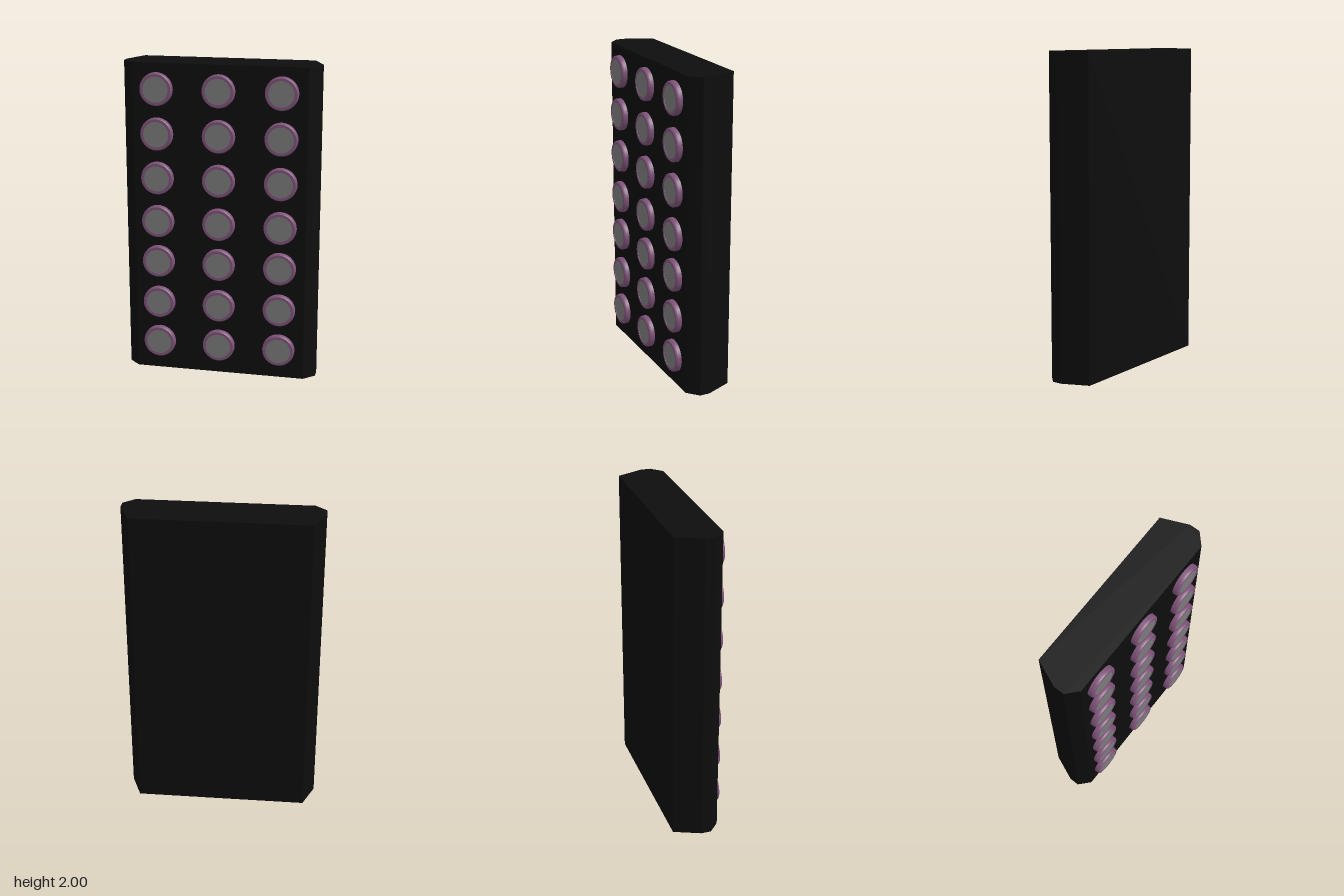
import * as THREE from 'three';
import { toCreasedNormals } from 'three/addons/utils/BufferGeometryUtils.js';

const HEIGHT = 2;
const FRONT_Z = 0.13;
const COLUMNS = [-0.393, -0.003, 0.386];
const ROWS = [0.19, 0.46, 0.735, 1.0, 1.28, 1.56, 1.84];

const bodyMaterial = new THREE.MeshStandardMaterial({ color: 0x0d0d0d });
const rimMaterial = new THREE.MeshStandardMaterial({ color: 0x7d5278 });
const capMaterial = new THREE.MeshStandardMaterial({ color: 0x7a7a7a });

// Slab with chamfered long edges: plan outline (x, -z) extruded upwards
function createBody() {
  const half = [[0.545, 0.165], [0.615, 0], [0.615, -0.065], [0.545, -FRONT_Z]];
  const mirrored = half.map(([x, y]) => [-x, y]).reverse();
  const shape = new THREE.Shape([...half, ...mirrored].map(([x, y]) => new THREE.Vector2(x, y)));
  const geometry = new THREE.ExtrudeGeometry(shape, { depth: HEIGHT, bevelEnabled: false });
  geometry.rotateX(-Math.PI / 2);
  const body = new THREE.Mesh(geometry, bodyMaterial);
  body.name = 'body';
  return body;
}

// Button rim: turned profile with a softened outer edge, facing +z
function createRimGeometry() {
  const profile = [[0.103, -0.005], [0.103, 0.02], [0.101, 0.029], [0.096, 0.035], [0.08, 0.035], [0.08, 0.03]];
  const lathe = new THREE.LatheGeometry(profile.map(([r, h]) => new THREE.Vector2(r, h)), 32);
  lathe.rotateX(Math.PI / 2);
  return toCreasedNormals(lathe, Math.PI / 5);
}

export function createModel() {
  const model = new THREE.Group();
  model.name = 'buttonPanel';
  model.add(createBody());

  // Grid of round buttons on the front
  const rimGeometry = createRimGeometry();
  const capGeometry = new THREE.CircleGeometry(0.08, 32);
  for (const y of ROWS) {
    for (const x of COLUMNS) {
      const button = new THREE.Group();
      button.name = 'button';
      const rim = new THREE.Mesh(rimGeometry, rimMaterial);
      rim.name = 'buttonRim';
      const cap = new THREE.Mesh(capGeometry, capMaterial);
      cap.name = 'buttonCap';
      cap.position.z = 0.033;
      button.add(rim, cap);
      button.position.set(x, y, FRONT_Z);
      model.add(button);
    }
  }
  return model;
}
